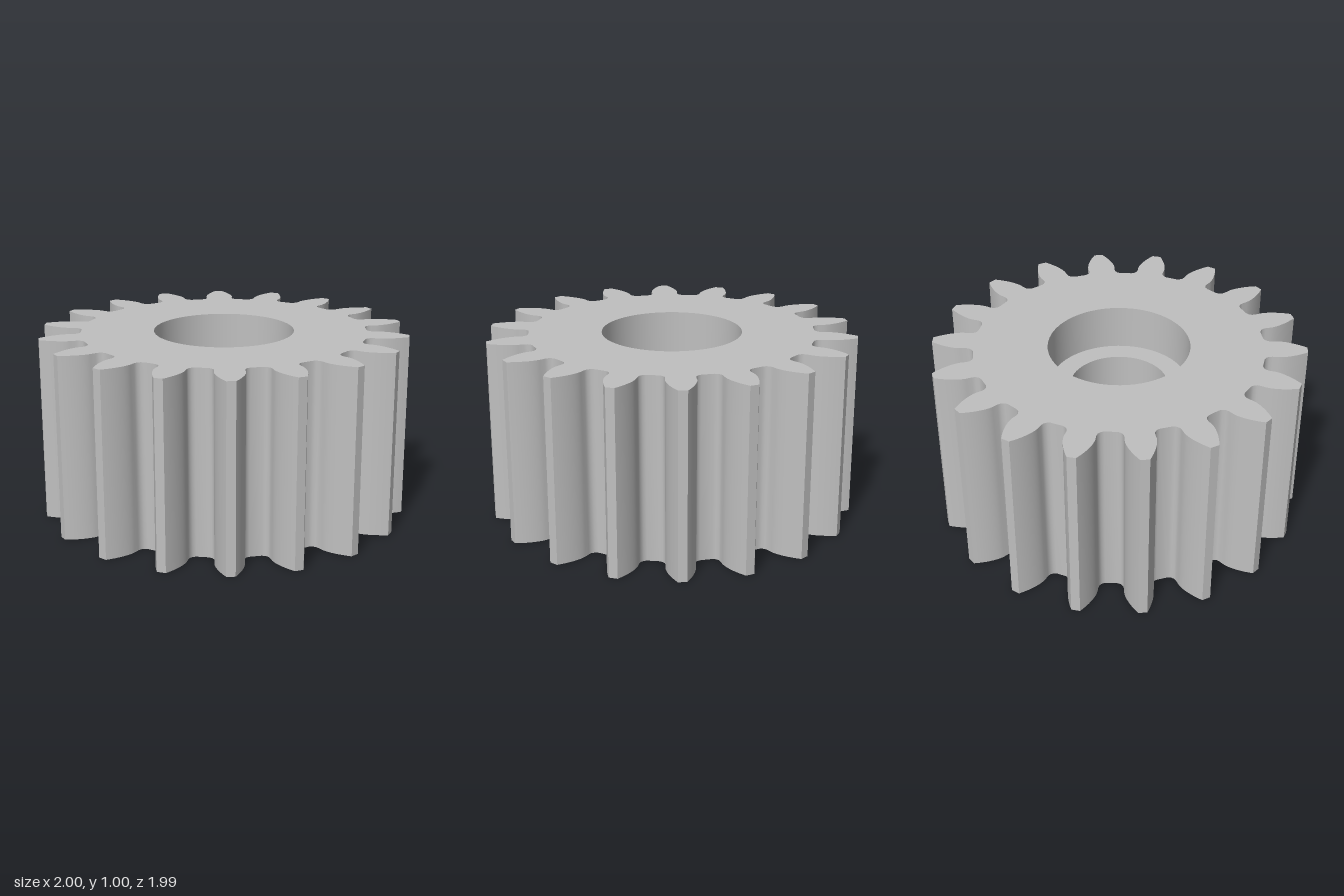
import * as THREE from 'three';
import { toCreasedNormals } from 'three/addons/utils/BufferGeometryUtils.js';

const TEETH = 18, HEIGHT = 1;
const PITCH_R = 0.9, TIP_R = 1, BASE_R = PITCH_R * Math.cos(Math.PI / 9);
const BORE_R = 0.265, RECESS_R = 0.38, RECESS_DEPTH = 0.25;
const DEG = Math.PI / 180;
const PHASE = -2.75 * DEG; // direction of the first tooth

// Half of one tooth as [radius, half angle], from root fillet to tip
function halfTooth() {
  const pts = [[0.775, 7.6], [0.782, 6.4], [0.797, 5.5], [0.815, 5.25]]
    .map(([r, a]) => [r, a * DEG]);
  const steps = 8;
  for (let i = 0; i <= steps; i++) {
    const r = BASE_R + (TIP_R - BASE_R) * i / steps;
    const t = Math.acos(Math.min(1, BASE_R / r));
    pts.push([r, 5.25 * DEG - (Math.tan(t) - t)]); // involute flank
  }
  return pts;
}

function gearShape() {
  const half = halfTooth(), pts = [];
  const polar = (r, a) => pts.push(new THREE.Vector2(r * Math.cos(a), r * Math.sin(a)));
  for (let k = 0; k < TEETH; k++) {
    const mid = PHASE + k * 2 * Math.PI / TEETH;
    half.forEach(([r, a]) => polar(r, mid - a));
    [...half].reverse().forEach(([r, a]) => polar(r, mid + a));
  }
  const shape = new THREE.Shape(pts);
  const hole = [];
  for (let i = 0; i < 64; i++) {
    const a = -i * 2 * Math.PI / 64;
    hole.push(new THREE.Vector2(RECESS_R * Math.cos(a), RECESS_R * Math.sin(a)));
  }
  shape.holes.push(new THREE.Path(hole));
  return shape;
}

// Toothed wall and both end faces, without the wall of the hole
function gearBodyGeometry() {
  const full = new THREE.ExtrudeGeometry(gearShape(), { depth: HEIGHT, bevelEnabled: false });
  const p = full.getAttribute('position'), kept = [];
  for (let i = 0; i < p.count; i += 3) {
    const tri = [i, i + 1, i + 2];
    if (tri.every(j => Math.hypot(p.getX(j), p.getY(j)) < RECESS_R + 0.01)) continue;
    tri.forEach(j => kept.push(p.getX(j), p.getY(j), p.getZ(j)));
  }
  const geo = new THREE.BufferGeometry();
  geo.setAttribute('position', new THREE.Float32BufferAttribute(kept, 3));
  geo.rotateX(-Math.PI / 2);
  return toCreasedNormals(geo, 0.7);
}

export function createModel() {
  const group = new THREE.Group();
  group.name = 'spurGear';
  const steel = new THREE.MeshStandardMaterial({ color: 0xc0c0c0 });
  steel.name = 'steel grey';

  const add = (name, geometry) => {
    const mesh = new THREE.Mesh(geometry, steel);
    mesh.name = name;
    group.add(mesh);
  };

  add('toothedBody', gearBodyGeometry());

  // Stepped bore, listed from top to bottom so the walls face inwards
  const low = RECESS_DEPTH, high = HEIGHT - RECESS_DEPTH;
  [
    ['topRecessWall', RECESS_R, HEIGHT, RECESS_R, high],
    ['topLedge', RECESS_R, high, BORE_R, high],
    ['boreWall', BORE_R, high, BORE_R, low],
    ['bottomLedge', BORE_R, low, RECESS_R, low],
    ['bottomRecessWall', RECESS_R, low, RECESS_R, 0],
  ].forEach(([name, r1, y1, r2, y2]) => add(name, new THREE.LatheGeometry(
    [new THREE.Vector2(r1, y1), new THREE.Vector2(r2, y2)], 64)));

  return group;
}
